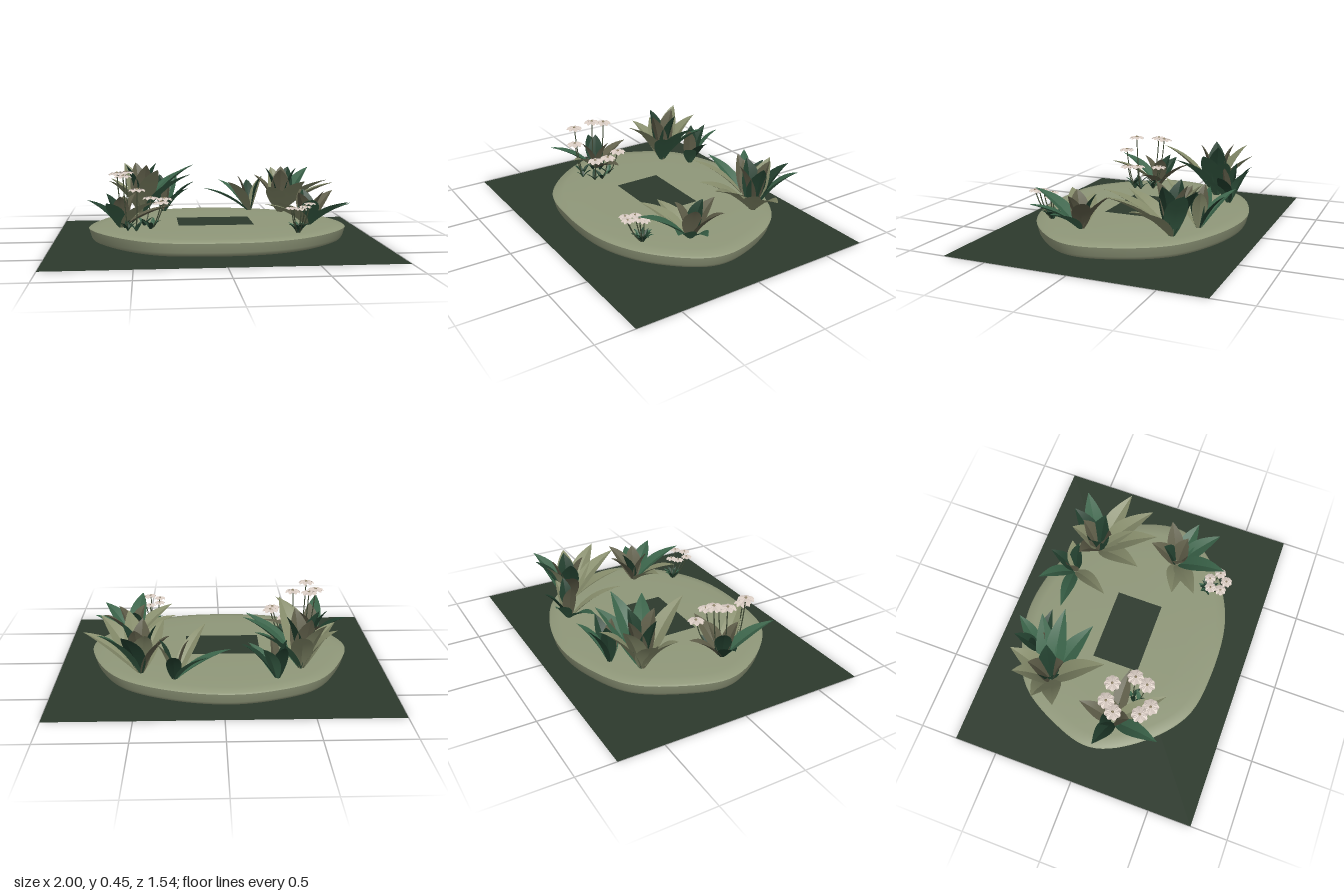
import * as THREE from 'three';
import { toCreasedNormals } from 'three/addons/utils/BufferGeometryUtils.js';

const paint = (name, color, side = THREE.DoubleSide) => {
  const m = new THREE.MeshStandardMaterial({ color, side });
  m.name = name;
  return m;
};
const V = (x, y, z) => new THREE.Vector3(x, y, z);
const rad = THREE.MathUtils.degToRad;

// Point at a distance and heading from a foot (0 = +x, 90 degrees = +z)
const around = (x, z, r, a, y) => V(x + r * Math.cos(a), y, z + r * Math.sin(a));

function meshGeometry(pos, index) {
  const g = new THREE.BufferGeometry();
  g.setAttribute('position', new THREE.Float32BufferAttribute(pos, 3));
  g.setIndex(index);
  return g;
}

// Folded blade from base to tip, arching along a quadratic curve
function bladeGeometry(base, tip, width, rows = 9, round = false) {
  const ctrl = base.clone().lerp(tip, 0.45);
  ctrl.y = base.y + (tip.y - base.y) * (round ? 0.1 : 0.72);
  const curve = new THREE.QuadraticBezierCurve3(base, ctrl, tip);
  const side = V(tip.z - base.z, 0, base.x - tip.x).normalize();
  const pos = [], index = [];
  for (let i = 0; i <= rows; i++) {
    const t = i / rows, p = curve.getPoint(t);
    const up = curve.getTangent(t).cross(side).normalize();
    const h = 0.5 * width * (round
      ? Math.sin(Math.PI * Math.pow(t, 1.5) * 0.9) + 0.1 * (1 - t)
      : Math.sin(Math.PI * Math.pow(t, 0.85)) + 0.3 * (1 - t));
    const left = p.clone().addScaledVector(side, -h).addScaledVector(up, h * 0.35);
    const right = p.clone().addScaledVector(side, h).addScaledVector(up, h * 0.35);
    for (const q of [left, p, p, right]) pos.push(q.x, q.y, q.z);
    if (i < rows) for (const k of [4 * i, 4 * i + 2])
      index.push(k, k + 1, k + 4, k + 1, k + 5, k + 4);
  }
  const g = meshGeometry(pos, index);
  g.computeVertexNormals();
  return g;
}

// Rounded garden bed: one outline repeated at several scales and heights
function bedGeometry() {
  const outline = [[-0.03, -0.655], [0.3, -0.595], [0.6, -0.43], [0.765, -0.15], [0.8, 0.12],
    [0.6, 0.395], [0.3, 0.56], [-0.1, 0.592], [-0.4, 0.535], [-0.66, 0.3], [-0.78, 0.04],
    [-0.71, -0.23], [-0.55, -0.48], [-0.29, -0.61]];
  const n = 110;
  const loop = new THREE.CatmullRomCurve3(outline.map(([x, z]) => V(x, 0, z)), true).getSpacedPoints(n).slice(0, n);
  const rings = [[0.01, 0.014], [0.94, 0.014], [0.965, 0.022], [0.98, 0.04],
    [1, 0.094], [0.985, 0.102], [0.9, 0.108], [0.65, 0.114], [0.002, 0.115]];
  const pos = [], index = [];
  rings.forEach(([s, y], i) => loop.forEach((p, j) => {
    pos.push(p.x * s, y, p.z * s);
    if (i === rings.length - 1) return;
    const a = i * n + j, b = i * n + (j + 1) % n;
    index.push(a, a + n, b, b, a + n, b + n);
  }));
  return toCreasedNormals(meshGeometry(pos, index), 0.7);
}

export function createModel() {
  const model = new THREE.Group();
  const ground = paint('dark ground', 0x2d3a2d);
  const bedMat = paint('sage bed', 0x8f9779, THREE.FrontSide);
  const sage = paint('sage leaf', 0x868c6b);
  const olive = paint('olive leaf', 0x605f4a);
  const green = paint('green leaf', 0x3a6349);
  const deep = paint('deep green leaf', 0x223f2e);
  const petal = paint('pale petal', 0xd6c9c0);
  const heart = paint('flower heart', 0x8f8265);
  const stemMat = paint('stem', 0x3f4a35);

  const add = (parent, name, geometry, material) => {
    const m = new THREE.Mesh(geometry, material);
    m.name = name;
    parent.add(m);
    return m;
  };
  const group = (name) => {
    const g = new THREE.Group();
    g.name = name;
    model.add(g);
    return g;
  };

  // Ground sheet, bed and the dark patch on top of it
  const sheet = (w, d) => new THREE.PlaneGeometry(w, d).rotateX(-Math.PI / 2);
  add(model, 'groundSheet', sheet(2, 1.54), ground);
  add(model, 'gardenBed', bedGeometry(), bedMat);
  add(model, 'centrePatch', sheet(0.46, 0.295), ground).position.set(-0.005, 0.118, 0.003);

  // Leafy plant: outer leaves at given headings, longest towards `lean`,
  // and a ring of short upright leaves in the middle
  function plant(name, x, z, { width, reach, skew, lean, height, headings, colours, inner }) {
    const g = group(name);
    const leaf = (a, r, y, material) =>
      add(g, 'leaf', bladeGeometry(around(x, z, 0.012, a, 0.105), around(x, z, r, a, y), width), material);
    headings.forEach((deg, i) => {
      const r = reach * (1 + skew * Math.cos(rad(deg - lean)));
      leaf(rad(deg), r, height * (1 - 0.1 * (i % 3)), colours[i % colours.length]);
    });
    for (let i = 0; i < inner; i++)
      leaf(rad(lean + 40 + i * 360 / inner), reach * 0.38, height + 0.01, i % 2 ? deep : olive);
  }
  plant('backRightBigPlant', -0.46, -0.34, {
    width: 0.11, reach: 0.28, skew: 0.3, lean: 30, height: 0.44, inner: 4,
    headings: [-3, 28, 151, 72, -84, 187, 236, -27], colours: [green, green, sage, sage, sage, sage, sage, green] });
  plant('backRightSmallPlant', -0.31, -0.47, {
    width: 0.075, reach: 0.15, skew: 0.4, lean: 0, height: 0.35, inner: 2,
    headings: [-100, 3, 35, -58], colours: [deep, deep, green, green] });
  plant('backLeftBigPlant', 0.48, -0.38, {
    width: 0.11, reach: 0.27, skew: 0.42, lean: 60, height: 0.4, inner: 4,
    headings: [-34, 76, 18, -106, 49, 112, -66, 198], colours: [green, sage, sage, sage, sage, sage, deep, olive] });
  plant('backLeftSmallPlant', 0.28, -0.47, {
    width: 0.075, reach: 0.22, skew: 0.55, lean: 145, height: 0.34, inner: 2,
    headings: [123, -90, 173, -23, 218], colours: [sage, deep, green, sage, green] });
  plant('frontLeftPlant', 0.56, 0.14, {
    width: 0.095, reach: 0.25, skew: 0.3, lean: 100, height: 0.31, inner: 3,
    headings: [-95, 48, 14, 98, 143, 170, -30], colours: [olive, green, green, green, sage, sage, olive] });
  plant('frontRightPlant', -0.58, 0.12, {
    width: 0.085, reach: 0.27, skew: 0.25, lean: 50, height: 0.3, inner: 3,
    headings: [103, -87, 0, 52, 195], colours: [green, olive, olive, sage, deep] });

  // Flower clump: heads on thin stems that start near a shared foot
  function flowers(name, bx, bz, radius, spread, heads) {
    const g = group(name);
    heads.forEach((top, k) => {
      const { x, y, z } = top;
      const foot = V(bx, 0.108, bz).lerp(V(x, 0.108, z), spread);
      const mid = V(x, (y + 0.108) / 2, z).lerp(foot, 0.3);
      add(g, 'stem', new THREE.TubeGeometry(new THREE.QuadraticBezierCurve3(foot, mid, top), 6, 0.0035, 5), stemMat);
      add(g, 'flowerHeart', new THREE.SphereGeometry(radius * 0.17, 8, 6).translate(x, y, z), heart);
      for (let i = 0; i < 8; i++) {
        const tip = around(x, z, radius, i * Math.PI / 4 + k, y - radius * 0.25);
        add(g, 'petal', bladeGeometry(top, tip, radius * 0.7, 5, true), petal);
      }
      // Small leaves around the foot of each stem
      for (let i = 0; i < 3; i++) {
        const tip = around(foot.x, foot.z, 0.06, i * 2.1 + k * 0.9, 0.165);
        add(g, 'footLeaf', bladeGeometry(foot, tip, 0.025, 5), i % 2 ? green : deep);
      }
    });
  }
  flowers('tallFlowers', -0.5, 0.19, 0.05, 0.6, [V(-0.55, 0.44, 0.07), V(-0.6, 0.44, 0.13),
    V(-0.4, 0.28, 0.05), V(-0.32, 0.29, 0.17), V(-0.34, 0.28, 0.25), V(-0.56, 0.44, 0.28), V(-0.48, 0.365, 0.32)]);
  const shortHeads = [0, 1, 2, 3, 4].map((i) => around(0.45, 0.44, 0.055, i * 1.257, 0.29 - 0.01 * i));
  flowers('shortFlowers', 0.45, 0.38, 0.036, 0.15, shortHeads);
  return model;
}
